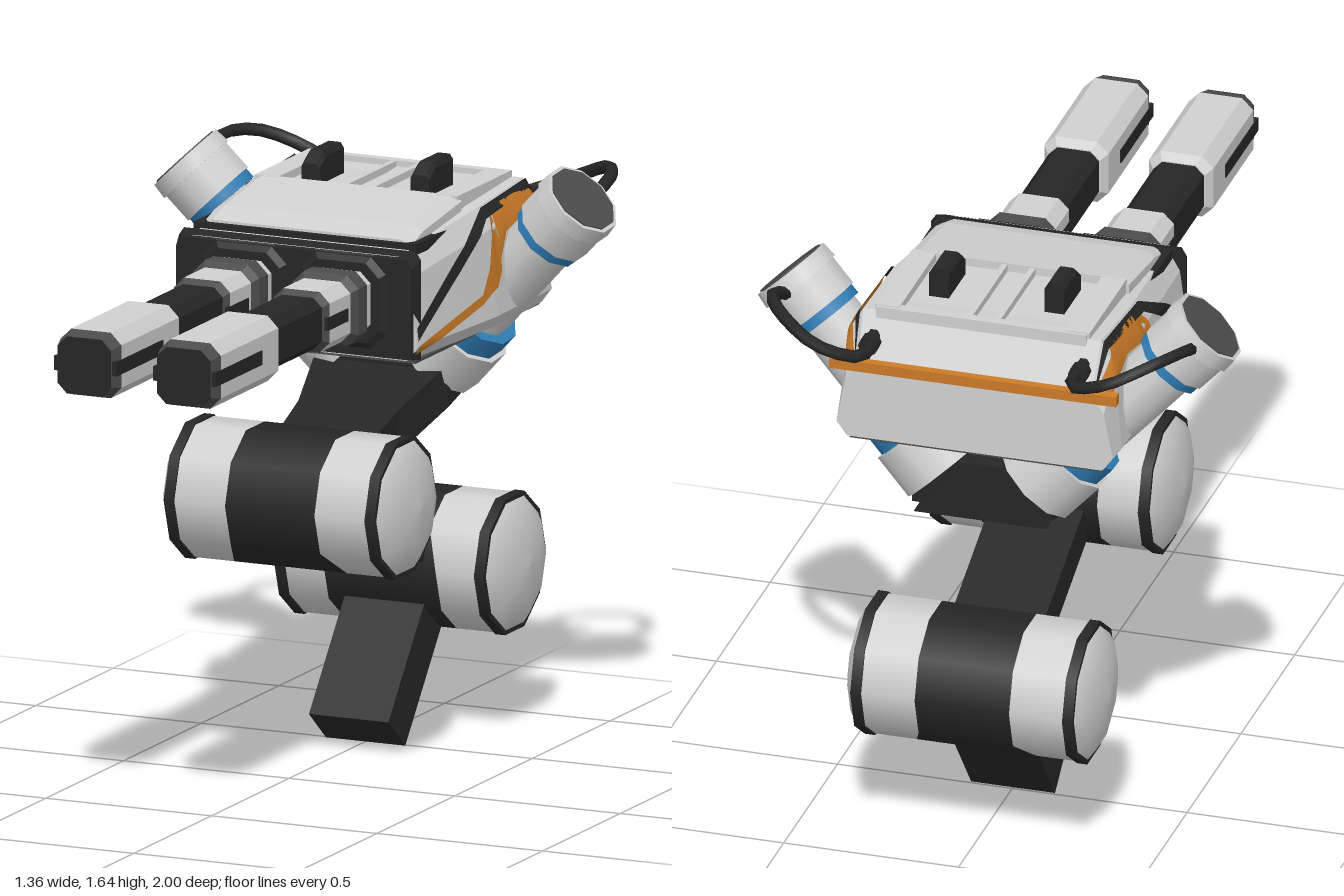
import * as THREE from 'three';

const mat = (name, color, side = THREE.FrontSide) => {
  const m = new THREE.MeshStandardMaterial({ color, side });
  m.name = name;
  return m;
};

// Skin closed rings (counter-clockwise from +z, ordered front to back) with flat facets and end caps
function loft(rings) {
  const v = [];
  const tri = (...p) => p.forEach((q) => v.push(...q));
  for (let s = 0; s < rings.length - 1; s++) {
    const a = rings[s], b = rings[s + 1];
    a.forEach((p, i) => {
      const j = (i + 1) % a.length;
      tri(p, b[i], a[j]);
      tri(a[j], b[i], b[j]);
    });
  }
  const f = rings[0], l = rings[rings.length - 1];
  for (let i = 1; i < f.length - 1; i++) {
    tri(f[0], f[i], f[i + 1]);
    tri(l[0], l[i + 1], l[i]);
  }
  const g = new THREE.BufferGeometry();
  g.setAttribute('position', new THREE.Float32BufferAttribute(v, 3));
  g.computeVertexNormals();
  return g;
}

// Square ring with cut corners
const squareRing = (h, z, c = h * 0.35) => [
  [h, c - h], [h, h - c], [h - c, h], [c - h, h], [-h, h - c], [-h, c - h], [c - h, -h], [h - c, -h],
].map(([x, y]) => [x, y, z]);
const mirrorRing = (half, z) =>
  [...half, ...half.map(([x, y]) => [-x, y]).reverse()].map(([x, y]) => [x, y, z]);

// Right half of the hull cross-section at a given z
const hullKeys = [[-0.04, 0.37, 1.5], [-0.48, 0.405, 1.55], [-0.78, 0.4, 1.57], [-0.85, 0.395, 1.44]];
function hullHalf(z) {
  let i = 0;
  while (i < hullKeys.length - 2 && z < hullKeys[i + 1][0]) i++;
  const [z0, w0, t0] = hullKeys[i], [z1, w1, t1] = hullKeys[i + 1];
  const k = THREE.MathUtils.clamp((z - z0) / (z1 - z0), 0, 1);
  const w = w0 + (w1 - w0) * k, t = t0 + (t1 - t0) * k;
  return [[w - 0.03, 1.21], [w, 1.25], [w - 0.025, t - 0.06], [w - 0.06, t]];
}
function hullX(z, y) {
  const p = hullHalf(z);
  let i = 0;
  while (i < 2 && y > p[i + 1][1]) i++;
  const k = (y - p[i][1]) / (p[i + 1][1] - p[i][1]);
  return p[i][0] + (p[i + 1][0] - p[i][0]) * THREE.MathUtils.clamp(k, 0, 1);
}

// Painted strip lying on the hull side; each key is [z, lower y, upper y]
function sideStrip(keys) {
  const v = [], idx = [], steps = 6;
  for (let s = 0; s < keys.length - 1; s++) {
    for (let n = s ? 1 : 0; n <= steps; n++) {
      const [z, lo, hi] = keys[s].map((a, i) => a + (keys[s + 1][i] - a) * n / steps);
      [lo, (lo + hi) / 2, hi].forEach((y) => v.push(hullX(z, y) + 0.008, y, z));
    }
  }
  for (let c = 0; c < v.length / 9 - 1; c++) {
    for (let r = 0; r < 2; r++) {
      const a = c * 3 + r, b = a + 3;
      idx.push(a, b, a + 1, a + 1, b, b + 1);
    }
  }
  const g = new THREE.BufferGeometry();
  g.setAttribute('position', new THREE.Float32BufferAttribute(v, 3));
  g.setIndex(idx);
  g.computeVertexNormals();
  return g;
}

export function createModel() {
  const white = mat('pale grey shell', 0xd0d0d0);
  const black = mat('black rubber', 0x262626);
  const grey = mat('dark grey metal', 0x4c4c4c);
  const blue = mat('blue ring', 0x2f7db5);
  const orange = mat('orange trim', 0xcb7b28, THREE.DoubleSide);
  const blackTrim = mat('black trim', 0x262626, THREE.DoubleSide);
  const model = new THREE.Group();
  const add = (parent, name, geo, material, x = 0, y = 0, z = 0) => {
    const m = new THREE.Mesh(geo, material);
    m.name = name;
    m.position.set(x, y, z);
    parent.add(m);
    return m;
  };
  const box = (parent, name, material, w, h, d, x, y, z) =>
    add(parent, name, new THREE.BoxGeometry(w, h, d), material, x, y, z);

  // Joint drums: dark middle that flares toward the links, pale sleeves, rims and domed caps
  function drum(name, y, z, fy, fz) {
    const g = new THREE.Group();
    g.name = name;
    g.position.set(0, y, z);
    model.add(g);
    const R = 0.195;
    const flare = (py, pz) => 0.135 + ((py * fy + pz * fz) / R > 0.2 ? 0.035 : 0);
    const band = (ends) => {
      const geo = new THREE.CylinderGeometry(R, R, 1, 10, 1, true).rotateZ(-Math.PI / 2);
      const p = geo.attributes.position;
      for (let i = 0; i < p.count; i++) p.setX(i, ends(p.getX(i) > 0, flare(p.getY(i), p.getZ(i))));
      return geo;
    };
    add(g, 'drumMiddle', band((far, w) => (far ? w : -w)), black);
    for (const s of [1, -1]) {
      add(g, 'drumSleeve', band((far, w) => (far === s > 0 ? s * 0.29 : s * w)), white);
      add(g, 'drumRim', new THREE.CylinderGeometry(0.2, 0.2, 0.03, 10).rotateZ(-Math.PI / 2), black, s * 0.303);
      const dome = [[0.188, 0], [0.155, 0.023], [0.085, 0.043], [0, 0.05]].map((a) => new THREE.Vector2(...a));
      add(g, 'drumCap', new THREE.LatheGeometry(dome, 10).rotateZ(-s * Math.PI / 2), white, s * 0.317);
    }
  }
  drum('upperDrum', 0.79, -0.07, -0.6, -0.8);
  drum('lowerDrum', 0.487, -0.775, -0.8, 0.6);

  // Links between the drums, and the foot strut
  const beam = (name, w, t, [y0, z0], [y1, z1]) => {
    const m = box(model, name, black, w, t, Math.hypot(y1 - y0, z1 - z0), 0, (y0 + y1) / 2, (z0 + z1) / 2);
    m.rotation.x = Math.atan2(y0 - y1, z1 - z0);
  };
  beam('lowerLink', 0.26, 0.107, [0.79, -0.07], [0.487, -0.775]);
  beam('footStrut', 0.24, 0.14, [0.058, -0.438], [0.487, -0.785]);
  const linkRing = (w, y, z) => mirrorRing([[w, y - 0.06], [w, y + 0.06]], z);
  add(model, 'upperLink', loft([linkRing(0.135, 0.82, -0.1), linkRing(0.15, 0.92, -0.38),
    linkRing(0.2, 1.01, -0.6), linkRing(0.2, 1.06, -0.78)]), black);
  const hub = [[0.19, 0.98], [0.13, 1.06], [0.06, 1.15]];
  add(model, 'shoulderHub', loft([mirrorRing(hub, -0.57), mirrorRing(hub, -0.8)]), black);

  // Hull with dark underside
  add(model, 'hull', loft(hullKeys.map(([z]) => mirrorRing(hullHalf(z), z))), white);
  box(model, 'underside', grey, 0.72, 0.008, 0.8, 0, 1.207, -0.445);
  box(model, 'rearTrim', orange, 0.82, 0.03, 0.03, 0, 1.435, -0.855);

  // Front panel and framed sockets
  add(model, 'frontPanel', loft([
    mirrorRing([[0.355, 1.215], [0.355, 1.47], [0.34, 1.495]], -0.03),
    mirrorRing([[0.365, 1.21], [0.365, 1.49], [0.35, 1.512]], -0.07)]), black);

  // Raised top cover, recess rails and fins
  box(model, 'coverSeal', black, 0.67, 0.03, 0.69, 0, 1.508, -0.445);
  const cover = (top, z) => mirrorRing([[0.315, 1.48], [0.315, top - 0.015], [0.285, top]], z);
  add(model, 'topCover', loft([cover(1.53, -0.115), cover(1.555, -0.19), cover(1.588, -0.44)]), white);
  box(model, 'recessFloor', white, 0.6, 0.04, 0.34, 0, 1.544, -0.61);
  box(model, 'rearRail', white, 0.6, 0.05, 0.03, 0, 1.56, -0.775);
  for (const s of [1, -1]) {
    box(model, 'sideRail', white, 0.07, 0.075, 0.35, s * 0.272, 1.55, -0.605);
    box(model, 'centreRail', white, 0.016, 0.035, 0.33, s * 0.04, 1.567, -0.605);
    add(model, 'fin', loft([
      mirrorRing([[0.028, 1.54], [0.028, 1.61], [0.018, 1.62]], -0.49),
      mirrorRing([[0.028, 1.54], [0.028, 1.635], [0.018, 1.65]], -0.53),
      mirrorRing([[0.028, 1.54], [0.028, 1.635], [0.018, 1.65]], -0.645)]), black, s * 0.165);
  }

  // Everything that is mirrored on both sides
  function sideParts(side, label) {
    const g = new THREE.Group();
    g.name = label;
    g.scale.x = side;
    model.add(g);

    // Painted trim
    add(g, 'orangeTrim', sideStrip([[-0.035, 1.23, 1.255], [-0.4, 1.3, 1.325], [-0.45, 1.32, 1.39],
      [-0.485, 1.33, 1.5], [-0.52, 1.37, 1.545]]), orange);
    add(g, 'orangeArch', sideStrip([[-0.52, 1.4, 1.53], [-0.57, 1.47, 1.545], [-0.68, 1.49, 1.55],
      [-0.77, 1.46, 1.545], [-0.81, 1.43, 1.49], [-0.85, 1.41, 1.44]]), orange);
    add(g, 'blackTrim', sideStrip([[-0.035, 1.27, 1.305], [-0.3, 1.415, 1.46], [-0.48, 1.52, 1.55],
      [-0.78, 1.547, 1.57], [-0.85, 1.44, 1.45]]), blackTrim);

    // Shoulder arm, built downward from its outer end
    const top = new THREE.Vector3(0.6, 1.57, -0.61), low = new THREE.Vector3(0.125, 1.07, -0.69);
    const arm = new THREE.Group();
    arm.name = 'shoulderArm';
    arm.position.copy(top);
    arm.quaternion.setFromUnitVectors(new THREE.Vector3(0, 1, 0), top.clone().sub(low).normalize());
    g.add(arm);
    for (const [name, m, r0, r1, t0, t1] of [
      ['armEndDisc', grey, 0.105, 0.105, -0.004, 0.01], ['armEndRim', white, 0.116, 0.12, 0, 0.045],
      ['armHead', white, 0.112, 0.112, 0.045, 0.135], ['armUpperRing', blue, 0.106, 0.106, 0.135, 0.165],
      ['armTube', white, 0.092, 0.092, 0.16, 0.5], ['armLowerRing', blue, 0.122, 0.122, 0.49, 0.555],
      ['armBase', white, 0.136, 0.136, 0.555, 0.69]]) {
      add(arm, name, new THREE.CylinderGeometry(r0, r1, t1 - t0, 10), m, 0, -(t0 + t1) / 2, 0);
    }

    // Hose from the rear of the hull to the arm head
    const path = new THREE.CatmullRomCurve3([[0.3, 1.51, -0.81], [0.3, 1.5, -0.93], [0.41, 1.54, -0.98],
      [0.53, 1.59, -0.92], [0.59, 1.59, -0.81], [0.57, 1.53, -0.68]].map((p) => new THREE.Vector3(...p)));
    add(g, 'hose', new THREE.TubeGeometry(path, 14, 0.018, 6), black);
    add(g, 'hoseSocket', new THREE.CylinderGeometry(0.028, 0.028, 0.04, 8).rotateX(Math.PI / 2), black, 0.3, 1.5, -0.85);

    // Gun: sections from muzzle to mount
    const gun = new THREE.Group();
    gun.name = 'gun';
    gun.position.set(0.15, 1.365, 0);
    g.add(gun);
    const part = (name, m, ...keys) => add(gun, name, loft(keys.map(([h, z]) => squareRing(h, z))), m);
    part('muzzleTip', grey, [0.08, 0.997], [0.092, 0.955]);
    part('muzzleFace', black, [0.08, 1], [0.08, 0.994]);
    part('muzzleShroud', white, [0.092, 0.955], [0.092, 0.585], [0.075, 0.56]);
    part('barrel', black, [0.072, 0.565], [0.072, 0.25]);
    part('collarLip', grey, [0.072, 0.262], [0.085, 0.24]);
    part('collar', white, [0.085, 0.24], [0.085, 0.1]);
    part('collarFlange', grey, [0.086, 0.105], [0.1, 0.085], [0.1, 0.03]);
    part('gunMount', white, [0.088, 0.03], [0.088, -0.055]);
    part('socketFrame', black, [0.112, -0.018], [0.135, -0.035]);
    box(gun, 'muzzleSlot', black, 0.19, 0.04, 0.3, 0, 0, 0.842);
    box(gun, 'collarSlot', black, 0.176, 0.036, 0.13, 0, 0, 0.19);
  }
  sideParts(1, 'leftSide');
  sideParts(-1, 'rightSide');
  return model;
}
